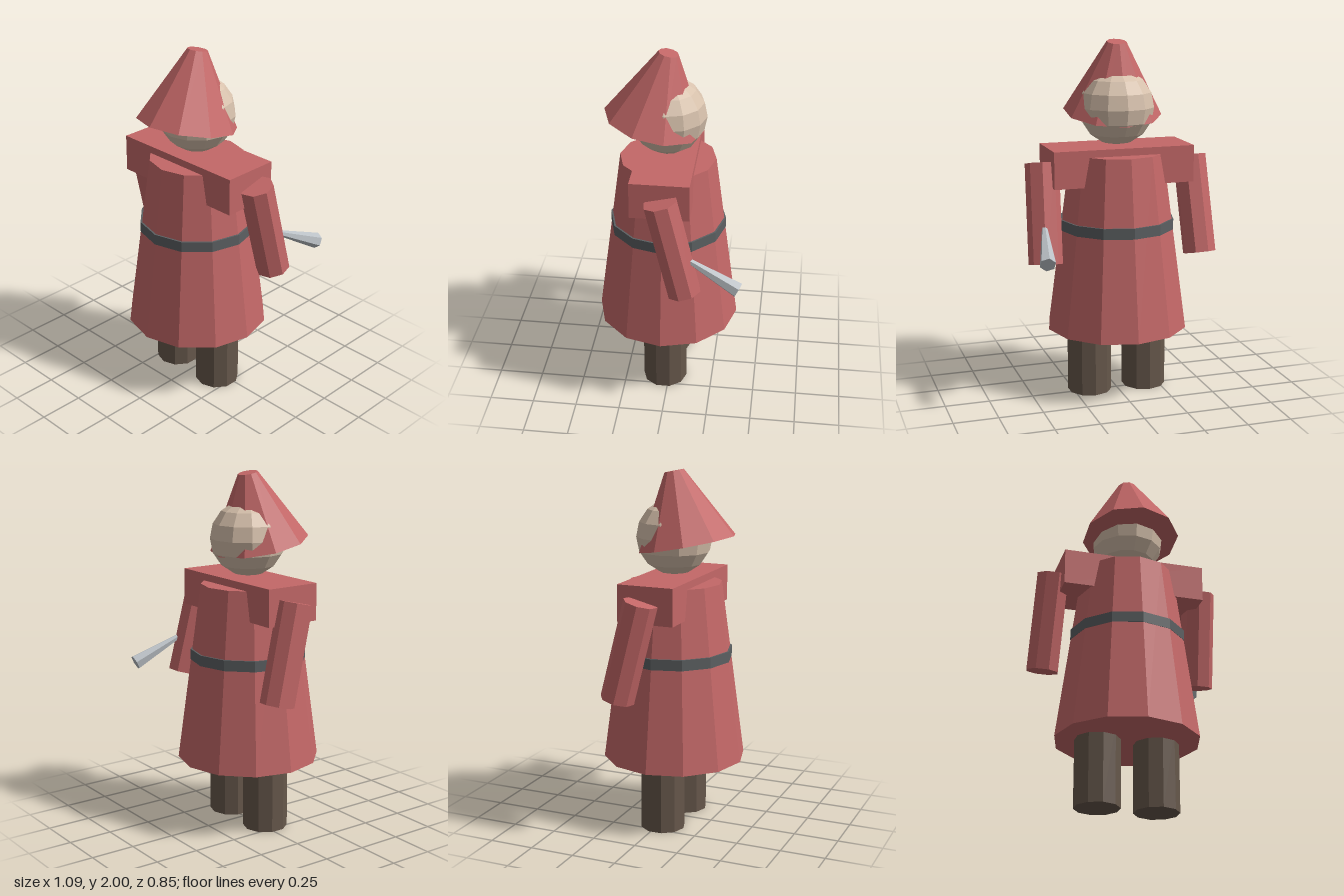
import * as THREE from 'three';

const mat = (name, color) => {
  const m = new THREE.MeshStandardMaterial({ color, flatShading: true });
  m.name = name;
  return m;
};

export function createModel() {
  const red = mat('red cloth', 0xc46868);
  const brown = mat('brown trousers', 0x66574b);
  const skin = mat('pale skin', 0xd8c2ad);
  const grey = mat('grey belt', 0x5c6062);
  const steel = mat('steel', 0xbac0c5);

  const model = new THREE.Group();
  model.name = 'robedFigure';
  const body = new THREE.Group();
  body.name = 'body';
  body.position.set(-0.008, 0, 0.025);
  model.add(body);

  const add = (parent, name, geometry, material, x, y, z) => {
    const mesh = new THREE.Mesh(geometry, material);
    mesh.name = name;
    mesh.position.set(x, y, z);
    parent.add(mesh);
    return mesh;
  };

  // Robe, belt and squared shoulders
  add(body, 'robe', new THREE.CylinderGeometry(0.265, 0.4, 1, 12), red, 0, 0.88, 0);
  add(body, 'belt', new THREE.CylinderGeometry(0.325, 0.325, 0.06, 12), grey, 0, 0.98, 0);
  add(body, 'shoulders', new THREE.BoxGeometry(0.8, 0.205, 0.32), red, 0, 1.318, 0);

  // Head and tilted hat
  add(body, 'head', new THREE.SphereGeometry(0.212, 12, 8), skin, 0, 1.632, 0);
  const hat = add(body, 'hat', new THREE.CylinderGeometry(0.055, 0.275, 0.4, 10), red, 0, 1.791, 0.036);
  hat.rotation.x = -0.2;

  // Legs and arms, mirrored
  for (const [side, s] of [['left', 1], ['right', -1]]) {
    add(body, side + 'Leg', new THREE.CylinderGeometry(0.125, 0.125, 0.44, 10), brown, s * 0.163, 0.22, 0);

    const armShape = new THREE.CylinderGeometry(0.094, 0.094, 0.553, 8).rotateY(-s * 0.21);
    const arm = add(body, side + 'Arm', armShape, red, s * 0.44, 1.07, -0.075);
    arm.rotation.set(0.24, 0, s * 0.034);
  }

  // Tapered weapon pointing back from the left arm
  const inner = new THREE.Vector3(0.45, 1.016, -0.13);
  const outer = new THREE.Vector3(0.504, 0.88, -0.408);
  const axis = inner.clone().sub(outer);
  const mid = inner.clone().add(outer).multiplyScalar(0.5);
  const weapon = add(model, 'weapon', new THREE.CylinderGeometry(0.014, 0.044, axis.length(), 6),
    steel, mid.x, mid.y, mid.z);
  weapon.quaternion.setFromUnitVectors(new THREE.Vector3(0, 1, 0), axis.normalize());

  return model;
}
